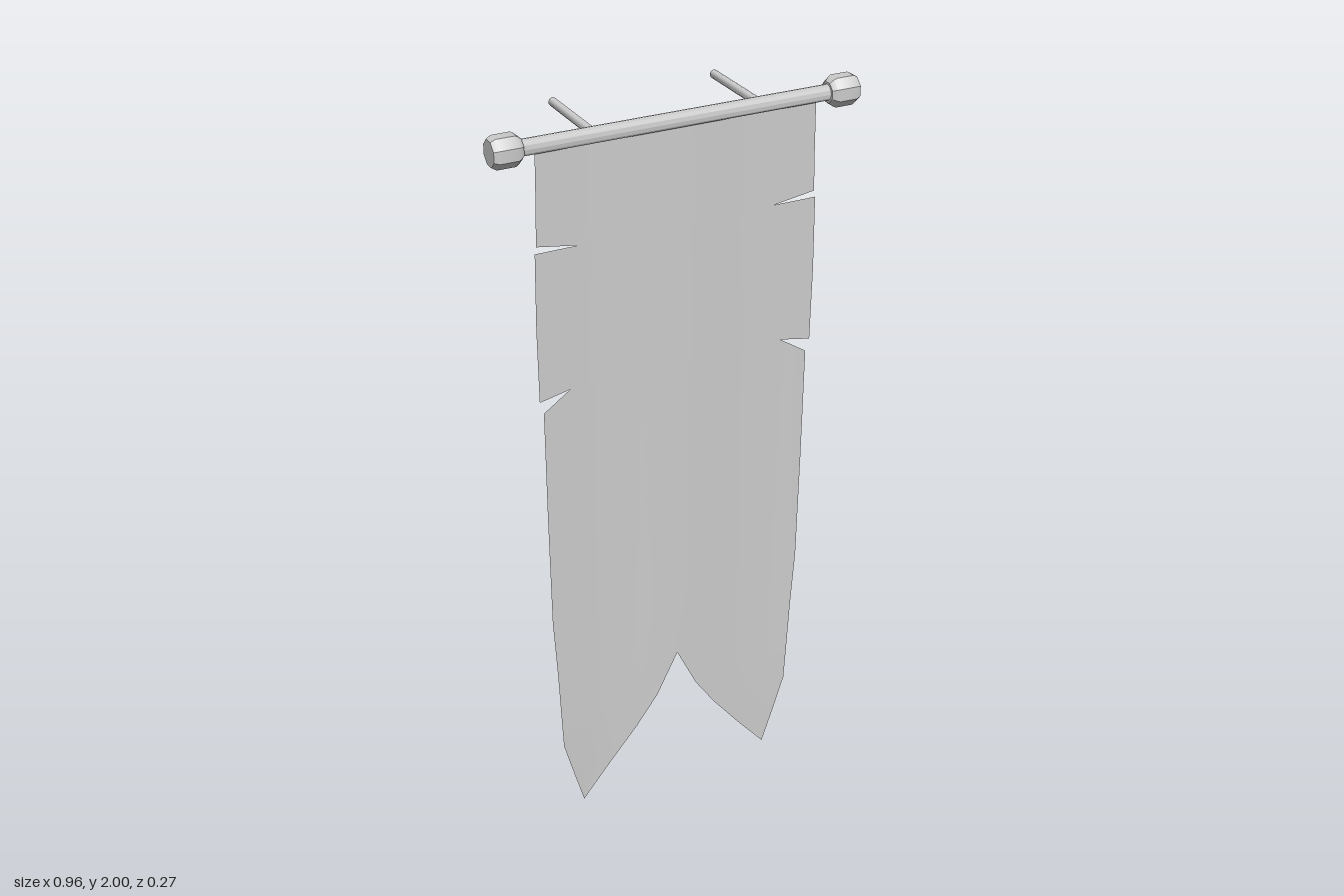
import * as THREE from 'three';
import { toCreasedNormals } from 'three/addons/utils/BufferGeometryUtils.js';

const POLE_Y = 1.963, POLE_Z = 0.095;
const material = new THREE.MeshStandardMaterial({ color: 0xcccccc });
const clothMaterial = new THREE.MeshStandardMaterial({ color: 0xcccccc, side: THREE.DoubleSide });

function addMesh(parent, name, geometry, mat = material) {
  const mesh = new THREE.Mesh(geometry, mat);
  mesh.name = name;
  parent.add(mesh);
  return mesh;
}

// Rows of half the cloth, each as inner, middle and outer [x, y].
// Each panel ends at a tear; neighbouring panels share the row up to the tear's tip.
const panels = [
  [
    [[0, 1.95], [0.265, 1.95], [0.37, 1.95]],
    [[0, 1.83], [0.265, 1.83], [0.372, 1.83]],
    [[0, 1.695], [0.265, 1.695], [0.375, 1.715]],
  ],
  [
    [[0, 1.695], [0.265, 1.695], [0.379, 1.698]],
    [[0, 1.5], [0.28, 1.5], [0.382, 1.5]],
    [[0, 1.317], [0.296, 1.317], [0.38, 1.303]],
  ],
  [
    [[0, 1.317], [0.296, 1.317], [0.37, 1.27]],
    [[0, 0.95], [0.28, 0.95], [0.369, 0.95]],
    [[0, 0.64], [0.27, 0.64], [0.366, 0.64]],
    [[0, 0.425], [0.26, 0.46], [0.356, 0.47]],
    [[0.06, 0.3], [0.26, 0.32], [0.35, 0.33]],
    [[0.12, 0.21], [0.26, 0.22], [0.345, 0.22]],
    [[0.205, 0.1], [0.27, 0.1], [0.315, 0.11]],
    [[0.285, 0.004], [0.285, 0.004], [0.285, 0.004]],
  ],
];

// Soft vertical folds, slightly stronger further down
const foldZ = (x, y) => 0.097 + (0.004 + 0.002 * (1 - y / 2)) * Math.cos(x * 15) - 0.004 * Math.max(0, 0.2 - y) / 0.2;

function clothGeometry() {
  const positions = [], indices = [], N = 8, M = 4, W = N + M + 1;
  const lerp = (a, b, t) => [a[0] + (b[0] - a[0]) * t, a[1] + (b[1] - a[1]) * t];
  for (const side of [1, -1]) {
    for (const rows of panels) {
      const start = positions.length / 3;
      rows.forEach(([inner, middle, outer], r) => {
        for (let c = 0; c < W; c++) {
          const [x, y] = c <= N ? lerp(inner, middle, c / N) : lerp(middle, outer, (c - N) / M);
          positions.push(side * x, y, foldZ(x, y));
          if (r === 0 || c === 0) continue;
          const d = start + r * W + c, b = d - W;
          if (side > 0) indices.push(b - 1, d - 1, d, b - 1, d, b);
          else indices.push(b - 1, d, d - 1, b - 1, b, d);
        }
      });
    }
  }
  const geometry = new THREE.BufferGeometry();
  geometry.setAttribute('position', new THREE.Float32BufferAttribute(positions, 3));
  geometry.setIndex(indices);
  geometry.computeVertexNormals();
  return geometry;
}

export function createModel() {
  const group = new THREE.Group();
  group.name = 'hangingBanner';

  addMesh(group, 'cloth', clothGeometry(), clothMaterial);

  // Horizontal pole
  const pole = addMesh(group, 'pole', toCreasedNormals(
    new THREE.CylinderGeometry(0.02, 0.02, 0.84, 12).rotateZ(Math.PI / 2), 0.7));
  pole.position.set(0, POLE_Y, POLE_Z);

  // Chamfered end caps and wall brackets, mirrored
  const capProfile = [[0, 0.403], [0.027, 0.403], [0.036, 0.413], [0.04, 0.42], [0.04, 0.467], [0.033, 0.479], [0, 0.479]]
    .map(([r, h]) => new THREE.Vector2(r, h));
  for (const side of [1, -1]) {
    const label = side > 0 ? 'left' : 'right';
    const cap = addMesh(group, label + 'EndCap', toCreasedNormals(
      new THREE.LatheGeometry(capProfile, 8, Math.PI / 8).rotateZ(-side * Math.PI / 2), 0.5));
    cap.position.set(0, POLE_Y, POLE_Z);

    const bracket = addMesh(group, label + 'WallBracket', toCreasedNormals(
      new THREE.CylinderGeometry(0.011, 0.011, 0.225, 10).rotateX(Math.PI / 2), 0.8));
    bracket.position.set(side * 0.218, POLE_Y + 0.002, -0.0275);
  }
  return group;
}
